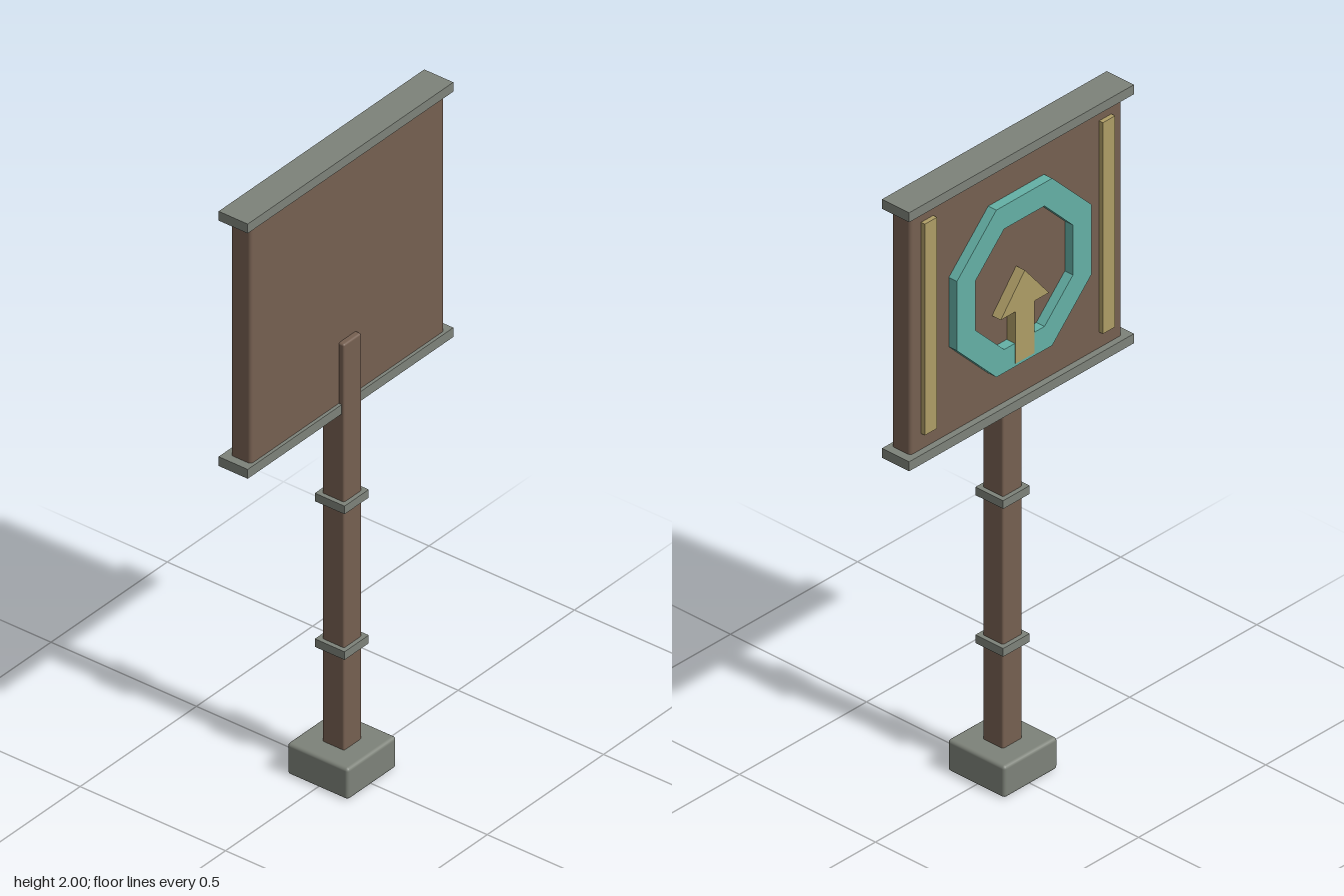
import * as THREE from 'three';
import { RoundedBoxGeometry } from 'three/addons/geometries/RoundedBoxGeometry.js';

const mat = (name, color) => {
  const m = new THREE.MeshStandardMaterial({ color });
  m.name = name;
  return m;
};

export function createModel() {
  const wood = mat('brown wood', 0x755f50);
  const stone = mat('grey stone', 0x7d8279);
  const teal = mat('teal paint', 0x64b0a5);
  const gold = mat('gold paint', 0xae9d66);
  const model = new THREE.Group();
  model.name = 'signpost';

  const add = (name, geometry, material, x = 0, y = 0, z = 0) => {
    const mesh = new THREE.Mesh(geometry, material);
    mesh.name = name;
    mesh.position.set(x, y, z);
    model.add(mesh);
    return mesh;
  };
  // Box given by its limits, with an optional rounded edge
  const box = (name, material, [x0, x1], [y0, y1], [z0, z1], r = 0) => {
    const size = [x1 - x0, y1 - y0, z1 - z0];
    const g = r ? new RoundedBoxGeometry(...size, 2, r) : new THREE.BoxGeometry(...size);
    return add(name, g, material, (x0 + x1) / 2, (y0 + y1) / 2, (z0 + z1) / 2);
  };

  // Foot, post and the bands around it
  box('base', stone, [-0.105, 0.105], [0, 0.1], [-0.105, 0.105], 0.01);
  box('post', wood, [-0.038, 0.038], [0.08, 1.405], [-0.037, 0.038], 0.006);
  for (const y of [0.417, 0.886]) {
    box('postBand', stone, [-0.052, 0.052], [y - 0.013, y + 0.013], [-0.051, 0.051]);
  }

  // Board with a rail above and below
  box('board', wood, [-0.416, 0.416], [1.19, 1.985], [-0.05, 0.02], 0.01);
  for (const y of [1.195, 1.985]) {
    box('rail', stone, [-0.442, 0.442], [y - 0.015, y + 0.015], [-0.07, 0.03]);
  }

  // Upright strips on the sign face, which looks towards -z
  for (const s of [-1, 1]) {
    box('strip', gold, [s * 0.35 - 0.024, s * 0.35 + 0.024], [1.26, 1.93], [-0.064, -0.049]);
  }

  // Octagonal ring
  const octagon = (radius) => Array.from({ length: 8 }, (_, i) => {
    const a = (i + 0.5) * Math.PI / 4;
    return new THREE.Vector2(radius * Math.cos(a), radius * Math.sin(a));
  });
  const ringShape = new THREE.Shape(octagon(0.287));
  ringShape.holes.push(new THREE.Path(octagon(0.207)));
  const ring = new THREE.ExtrudeGeometry(ringShape, { depth: 0.031, bevelEnabled: false });
  add('ring', ring, teal, 0, 1.595, -0.08);

  // Arrow pointing up from the bottom of the ring
  const arrowShape = new THREE.Shape([
    [-0.037, 1.34], [0.037, 1.34], [0.037, 1.505], [0.095, 1.505],
    [0, 1.62], [-0.095, 1.505], [-0.037, 1.505],
  ].map(([x, y]) => new THREE.Vector2(x, y)));
  const arrow = new THREE.ExtrudeGeometry(arrowShape, { depth: 0.033, bevelEnabled: false });
  add('arrow', arrow, gold, 0, 0, -0.082);

  return model;
}
